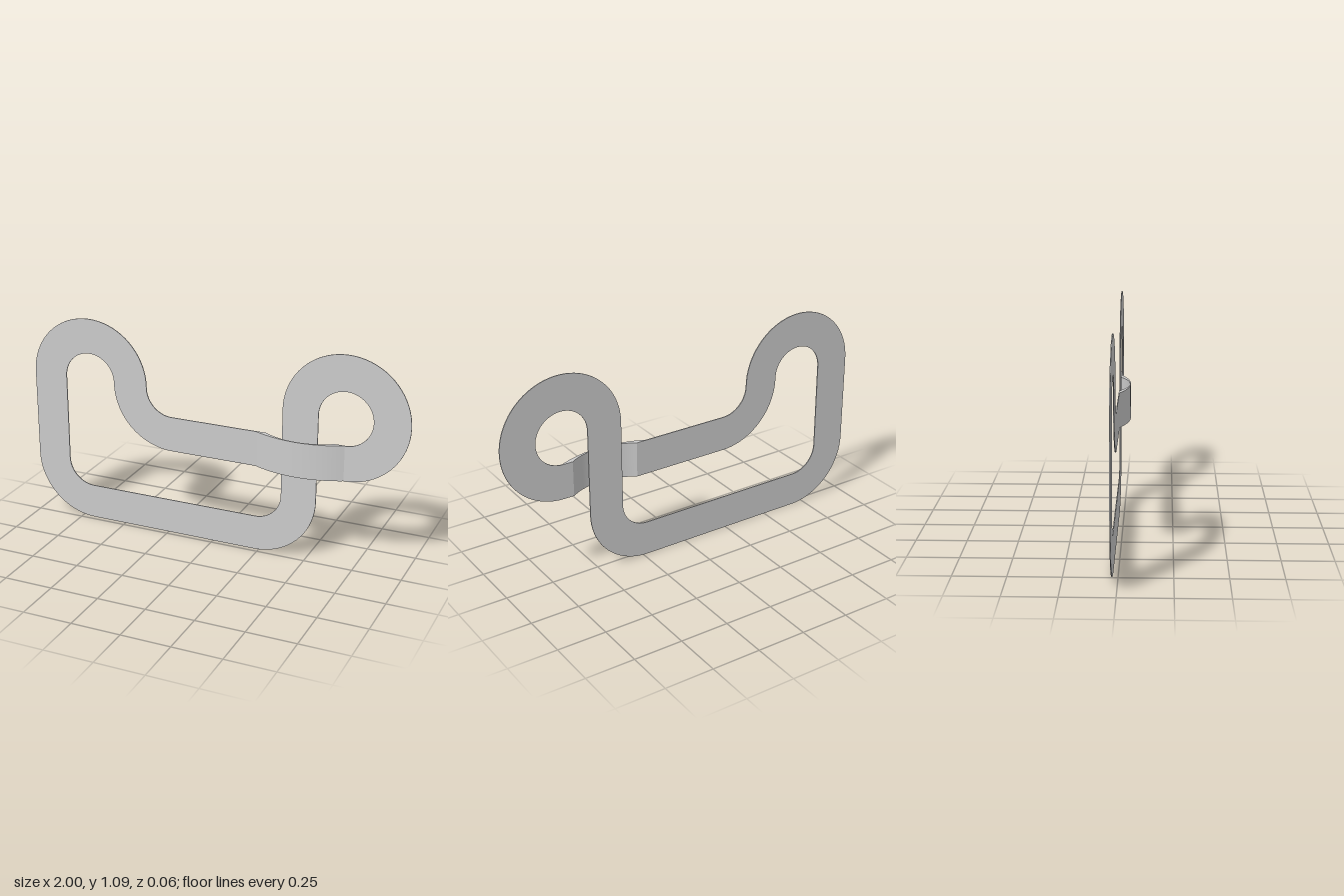
import * as THREE from 'three';
import { toCreasedNormals } from 'three/addons/utils/BufferGeometryUtils.js';

const U = 2 / 8.8;      // bend radius, also the layout unit
const HALF = 0.4 * U;   // half the road width
const T = 0.005;        // road thickness
const BACK = -0.0285;   // underside of the road
const FRONT = 0.0285;   // crest of the bridge
const LOW = HALF + U, HIGH = HALF + 3 * U, DECK = HALF + 2 * U;

const material = new THREE.MeshStandardMaterial({ color: 0xcccccc });

function slab(points, depth) {
  const geo = new THREE.ExtrudeGeometry(new THREE.Shape(points), { depth, bevelEnabled: false });
  return toCreasedNormals(geo, Math.PI / 6);
}

// Flat road: bends in driving order, joined by straights, ending at the bridge
function roadOutline() {
  const bends = [ // centre x, centre y, start and end angle in degrees
    [3 * U, HIGH, -90, 180],
    [U, LOW, 0, -90],
    [-3 * U, LOW, -90, -180],
    [-3 * U, HIGH, 180, 0],
    [-U, HIGH, 180, 270],
  ];
  const left = [], right = [];
  for (const [cx, cy, a0, a1] of bends) {
    const turn = Math.sign(a1 - a0);
    const steps = Math.abs(a1 - a0) / 5;
    for (let i = 0; i <= steps; i++) {
      const a = THREE.MathUtils.degToRad(a0 + turn * 5 * i);
      const at = (r) => new THREE.Vector2(cx + r * Math.cos(a), cy + r * Math.sin(a));
      left.push(at(U - turn * HALF));
      right.push(at(U + turn * HALF));
    }
  }
  left.push(new THREE.Vector2(U, DECK + HALF));
  right.push(new THREE.Vector2(U, DECK - HALF));
  return [...left, ...right.reverse()];
}

// Circular arch in x and z, from -x to +x about the crossing
function arch(halfSpan, base, crest, steps = 28) {
  const rise = crest - base;
  const r = (halfSpan ** 2 + rise ** 2) / (2 * rise);
  const sweep = Math.asin(halfSpan / r);
  return Array.from({ length: steps + 1 }, (_, i) => {
    const a = sweep * (2 * i / steps - 1);
    return new THREE.Vector2(2 * U + r * Math.sin(a), crest - r + r * Math.cos(a));
  });
}

export function createModel() {
  const model = new THREE.Group();
  model.name = 'raceTrack';

  const road = new THREE.Mesh(slab(roadOutline(), T), material);
  road.name = 'flatRoad';
  road.position.z = BACK;
  model.add(road);

  // Bridge: arched top, and a shorter arch hollowed out underneath
  const profile = [
    new THREE.Vector2(U, BACK),
    ...arch(U, BACK + T, FRONT),
    new THREE.Vector2(3 * U, BACK),
    ...arch(0.175, BACK, FRONT - T).reverse(),
  ];
  const bridge = new THREE.Mesh(slab(profile, 2 * HALF).rotateX(Math.PI / 2), material);
  bridge.name = 'bridge';
  bridge.position.y = DECK + HALF;
  model.add(bridge);

  return model;
}
